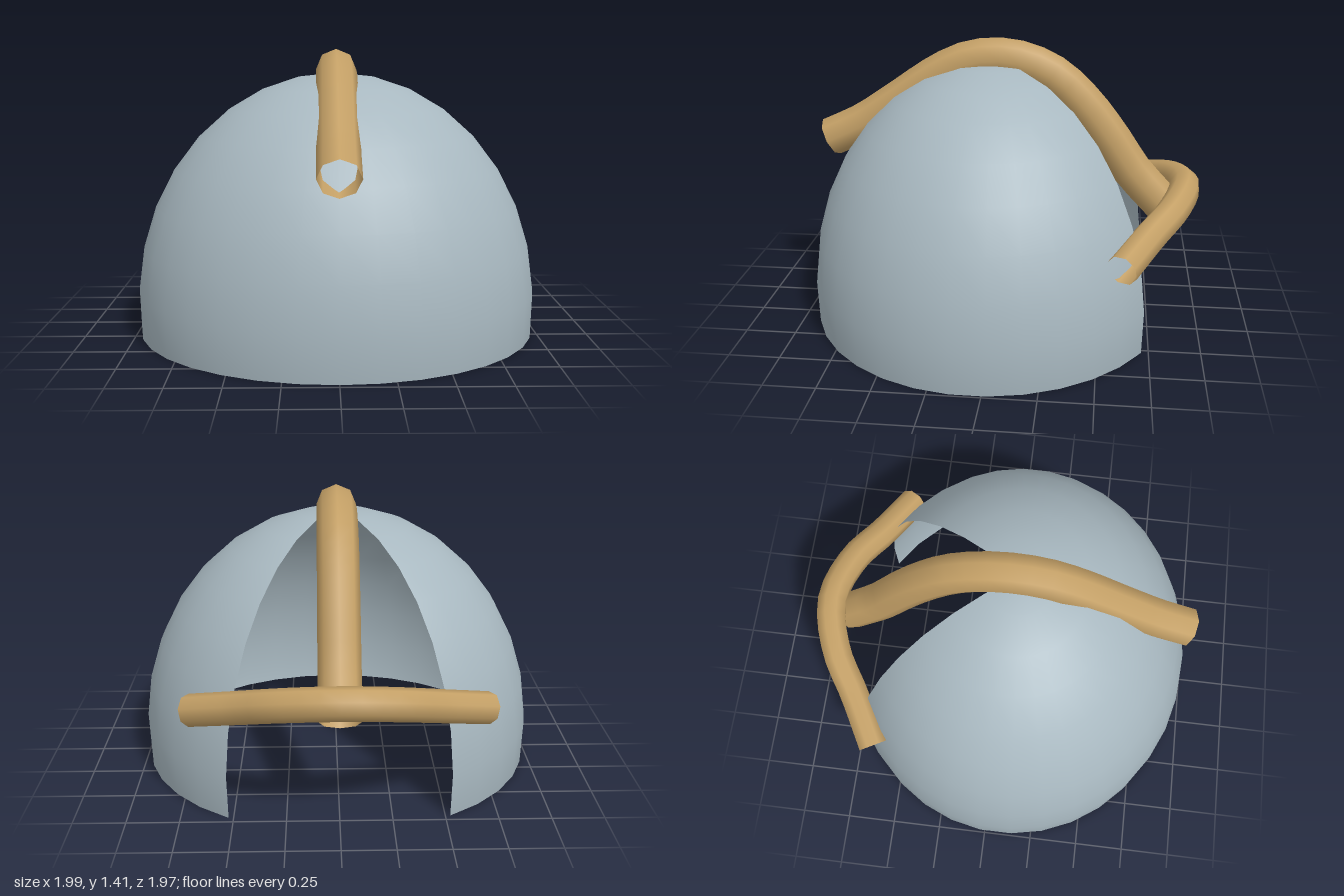
import * as THREE from 'three';

const domeMaterial = new THREE.MeshStandardMaterial({ color: 0xa8b8c0, side: THREE.DoubleSide });
const tubeMaterial = new THREE.MeshStandardMaterial({ color: 0xc4a066, side: THREE.DoubleSide });

// Open eight-sided tube through a list of points
function makeTube(name, points, segments, radius) {
  const curve = new THREE.CatmullRomCurve3(points);
  const mesh = new THREE.Mesh(new THREE.TubeGeometry(curve, segments, radius, 8, false), tubeMaterial);
  mesh.name = name;
  return mesh;
}

export function createModel() {
  const model = new THREE.Group();
  model.name = 'domeWithHandles';

  // Thin ellipsoid shell, open below and with a wedge missing at the back
  const halfGap = 0.556;
  const shell = new THREE.SphereGeometry(
    1, 28, 9, -Math.PI / 2 + halfGap, 2 * Math.PI - 2 * halfGap, 0, 1.7);
  shell.scale(1, 1.15, 0.92);
  const dome = new THREE.Mesh(shell, domeMaterial);
  dome.name = 'dome';
  dome.position.set(0, 0.15, 0.06);
  model.add(dome);

  // Long tube arching over the dome from front to back, as [z, y]
  const arch = [
    [0.9, 0.88], [0.72, 0.965], [0.53, 1.09], [0.335, 1.223], [0.185, 1.295],
    [0.035, 1.317], [-0.11, 1.295], [-0.255, 1.227], [-0.393, 1.1],
    [-0.518, 0.943], [-0.65, 0.75], [-0.74, 0.65], [-0.83, 0.555],
  ].map(([z, y]) => new THREE.Vector3(0, y, z));
  model.add(makeTube('archTube', arch, 24, 0.1));

  // Bowed crossbar at the back, drawn flat and mirrored, then tilted
  const half = [[0.7, 0.354], [0.465, 0.211], [0.26, 0.074]];
  const bow = [
    ...half.map(([x, z]) => new THREE.Vector3(-x, 0, z)),
    new THREE.Vector3(0, 0, 0),
    ...half.slice().reverse().map(([x, z]) => new THREE.Vector3(x, 0, z)),
  ];
  const crossbar = makeTube('rearCrossbar', bow, 20, 0.077);
  crossbar.position.set(0, 0.68, -0.915);
  crossbar.rotation.x = 0.5;
  model.add(crossbar);

  return model;
}
